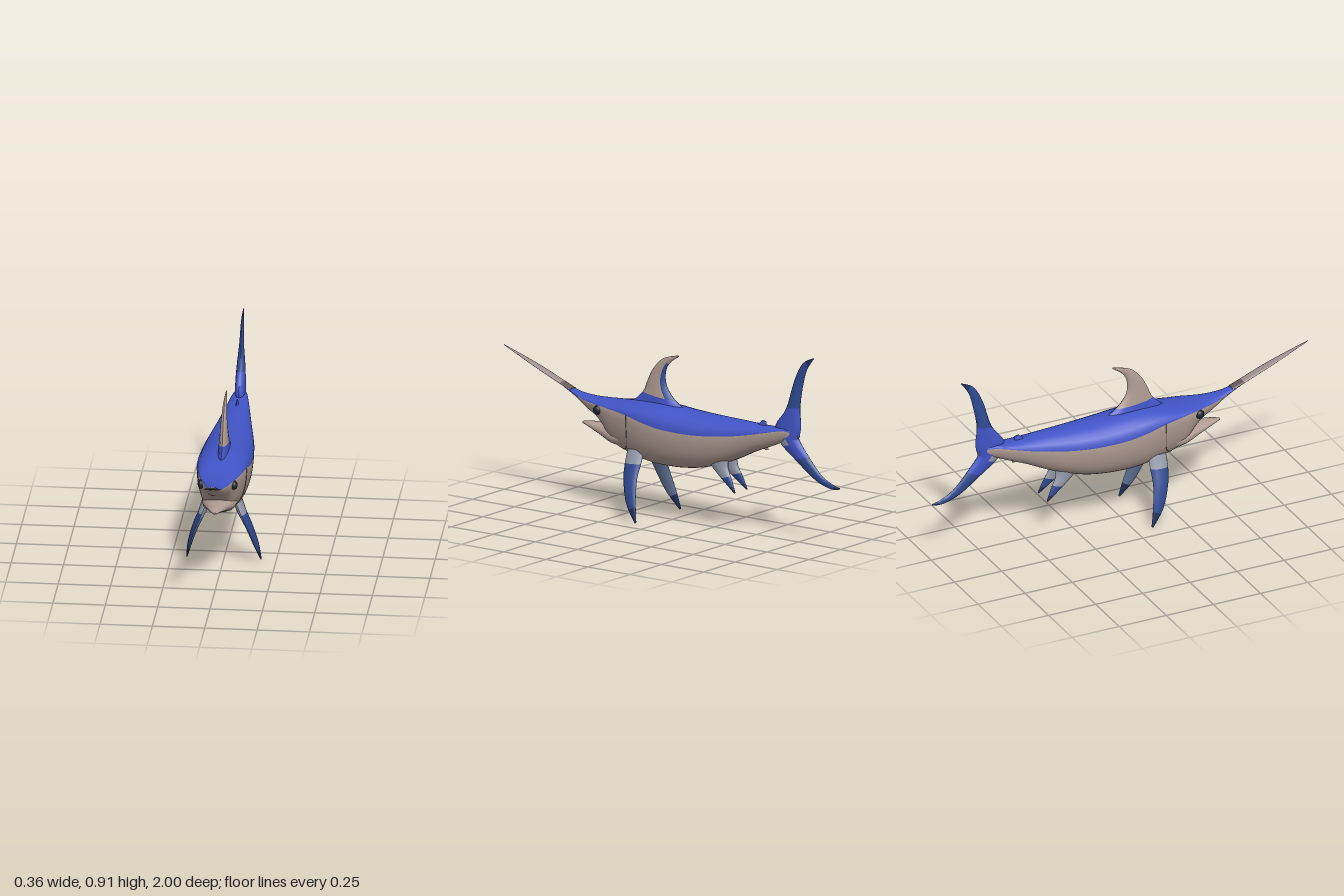
import * as THREE from 'three';
import { toCreasedNormals } from 'three/addons/utils/BufferGeometryUtils.js';

const mat = (name, color) => {
  const m = new THREE.MeshStandardMaterial({ color });
  m.name = name;
  return m;
};

// Catmull-Rom interpolation of a table of rows at fractional index u
function sample(rows, u) {
  const i = Math.min(Math.floor(u), rows.length - 2), t = u - i;
  const row = k => rows[Math.max(0, Math.min(rows.length - 1, k))];
  return rows[i].map((_, c) => {
    const [a, b, d, e] = [-1, 0, 1, 2].map(k => row(i + k)[c]);
    return b + 0.5 * t * (d - a + t * (2 * a - 5 * b + 4 * d - e + t * (3 * (b - d) + e - a)));
  });
}

// Closed skin over equal-sized rings; pick(ring, column) gives the material index
function loft(rings, materials, pick, name) {
  const n = rings[0].length, verts = rings.flat();
  const lists = materials.map(() => []);
  for (let i = 0; i < rings.length - 1; i++) {
    for (let j = 0; j < n; j++) {
      const a = i * n + j, b = i * n + (j + 1) % n;
      lists[pick(i, j)].push(a, b, b + n, a, b + n, a + n);
    }
  }
  // End caps
  const last = (rings.length - 1) * n;
  for (let j = 1; j < n - 1; j++) {
    lists[pick(0, j)].push(0, j + 1, j);
    lists[pick(rings.length - 2, j)].push(last, last + j, last + j + 1);
  }
  // Turn the skin outwards when its signed volume is negative
  let volume = 0;
  const all = lists.flat(), cross = new THREE.Vector3();
  for (let k = 0; k < all.length; k += 3) {
    volume += verts[all[k]].dot(cross.crossVectors(verts[all[k + 1]], verts[all[k + 2]]));
  }
  if (volume < 0) {
    for (const l of lists) {
      for (let k = 0; k < l.length; k += 3) [l[k], l[k + 1]] = [l[k + 1], l[k]];
    }
  }
  const geo = new THREE.BufferGeometry().setFromPoints(verts);
  geo.setIndex(lists.flat());
  let start = 0;
  lists.forEach((l, k) => {
    if (l.length) geo.addGroup(start, l.length, k);
    start += l.length;
  });
  const mesh = new THREE.Mesh(toCreasedNormals(geo, 0.9), materials);
  mesh.name = name;
  return mesh;
}

// Body rows: z, top y, colour line y, belly y, half width
const BODY = [
  [0.63, 0.573, 0.565, 0.56, 0.022], [0.56, 0.548, 0.538, 0.525, 0.03],
  [0.48, 0.538, 0.522, 0.475, 0.05], [0.42, 0.536, 0.52, 0.445, 0.068],
  [0.37, 0.536, 0.52, 0.4, 0.085], [0.31, 0.54, 0.518, 0.33, 0.1],
  [0.2, 0.56, 0.508, 0.295, 0.117], [0.1, 0.568, 0.488, 0.275, 0.126],
  [0, 0.565, 0.472, 0.27, 0.128], [-0.1, 0.557, 0.466, 0.275, 0.124],
  [-0.2, 0.552, 0.466, 0.29, 0.116], [-0.3, 0.55, 0.472, 0.32, 0.102],
  [-0.4, 0.549, 0.484, 0.36, 0.085], [-0.5, 0.546, 0.502, 0.41, 0.068],
  [-0.6, 0.545, 0.525, 0.452, 0.05], [-0.68, 0.555, 0.54, 0.487, 0.034],
  [-0.75, 0.55, 0.53, 0.51, 0.012],
];
const UP = 6, DOWN = 10, HALF = UP + DOWN;

// Point on the skin; k runs 0 (back ridge) to UP (colour line) to HALF (belly)
function bodyPoint(u, k, side, grow = 1) {
  const [z, top, line, bottom, w] = sample(BODY, u);
  if (k <= UP) {
    const a = (k / UP) * Math.PI / 2;
    return new THREE.Vector3(side * grow * w * Math.sin(a), line + (top - line) * Math.cos(a), z);
  }
  const a = ((k - UP) / DOWN) * Math.PI / 2;
  const x = w * Math.pow(Math.max(0, Math.cos(a)), 0.72);
  return new THREE.Vector3(side * grow * x, line - (line - bottom) * Math.pow(Math.sin(a), 0.95), z);
}

// Fin rows: front y, front z, back y, back z, centre x, half thickness
function fin(name, rows, materials, pick, steps = 4) {
  const rings = [], N = 12;
  for (let i = 0; i <= (rows.length - 1) * steps; i++) {
    const [ay, az, by, bz, x, t] = sample(rows, i / steps);
    rings.push(Array.from({ length: N }, (_, j) => {
      const a = j / N * Math.PI * 2, f = (1 - Math.cos(a)) / 2;
      return new THREE.Vector3(x + t * Math.sin(a), ay + (by - ay) * f, az + (bz - az) * f);
    }));
  }
  return loft(rings, materials, (i, j) => pick(i / steps, j), name);
}

export function createModel() {
  const blue = mat('back blue', 0x4154c6);
  const taupe = mat('belly taupe', 0xb09c92);
  const finBlue = mat('fin blue', 0x304a92);
  const midBlue = mat('fin inner blue', 0x66789f);
  const navy = mat('fin tip navy', 0x22305f);
  const pale = mat('fin root grey blue', 0x989fb0);
  const billGrey = mat('bill grey', 0xa0918e);
  const groove = mat('groove brown', 0x665b58);
  const dark = mat('eye black', 0x1a2430);
  const fish = new THREE.Group();
  fish.name = 'fish';

  // Body with blue back and taupe flanks
  const rings = [];
  for (let i = 0; i <= (BODY.length - 1) * 3; i++) {
    rings.push(Array.from({ length: HALF * 2 }, (_, j) =>
      j <= HALF ? bodyPoint(i / 3, j, 1) : bodyPoint(i / 3, HALF * 2 - j, -1)));
  }
  fish.add(loft(rings, [blue, taupe], (i, j) => (j < UP || j >= HALF * 2 - UP ? 0 : 1), 'body'));

  // Flat bill and lower jaw, rows: z, centre y, half height, half width
  const rod = (name, rows, materials, pick) => {
    const loops = [];
    for (let i = 0; i <= (rows.length - 1) * 3; i++) {
      const [z, y, h, w] = sample(rows, i / 3);
      loops.push(Array.from({ length: 16 }, (_, j) => {
        const a = j / 16 * Math.PI * 2;
        return new THREE.Vector3(w * Math.cos(a), y + h * Math.sin(a), z);
      }));
    }
    fish.add(loft(loops, materials, pick, name));
  };
  rod('bill', [[0.59, 0.553, 0.008, 0.023], [0.65, 0.576, 0.007, 0.024], [0.72, 0.604, 0.006, 0.024],
    [0.8, 0.635, 0.005, 0.022], [0.9, 0.673, 0.004, 0.013], [1, 0.71, 0.002, 0.002]],
  [groove, billGrey], i => (i < 3 ? 0 : 1));
  rod('lowerJaw', [[0.53, 0.402, 0.005, 0.008], [0.48, 0.4, 0.014, 0.032], [0.4, 0.388, 0.029, 0.058],
    [0.32, 0.375, 0.046, 0.082], [0.24, 0.37, 0.05, 0.085]], [taupe], () => 0);

  // Dorsal fin: blue foot, taupe blade, dark trailing edge on the left
  fish.add(fin('dorsalFin', [
    [0.545, 0.24, 0.54, -0.1, 0, 0.03], [0.605, 0.175, 0.585, -0.02, 0, 0.024],
    [0.665, 0.147, 0.645, 0.03, 0, 0.019], [0.727, 0.113, 0.705, 0.04, 0, 0.014],
    [0.783, 0.055, 0.76, 0.02, 0, 0.009], [0.81, -0.035, 0.803, -0.037, 0, 0.003],
  ], [blue, taupe, finBlue], (u, j) => (u < 1 ? 0 : u < 4 && (j === 4 || j === 5) ? 2 : 1)));

  // Tail lobes: bright at the root, darker outwards, grey front edge below
  const tailBlue = u => (u < 2 ? 0 : u < 4.25 ? 1 : 2);
  fish.add(fin('upperTailLobe', [
    [0.5, -0.62, 0.5, -0.75, 0, 0.026], [0.56, -0.615, 0.565, -0.765, 0, 0.026],
    [0.65, -0.68, 0.66, -0.758, 0, 0.022], [0.79, -0.725, 0.76, -0.775, 0, 0.011],
    [0.88, -0.775, 0.85, -0.8, 0, 0.007], [0.915, -0.84, 0.91, -0.84, 0, 0.002],
  ], [blue, finBlue, navy], tailBlue));
  fish.add(fin('lowerTailLobe', [
    [0.54, -0.62, 0.56, -0.76, 0, 0.026], [0.475, -0.64, 0.51, -0.75, 0, 0.024],
    [0.4, -0.735, 0.43, -0.81, 0, 0.016], [0.32, -0.85, 0.35, -0.885, 0, 0.01],
    [0.29, -0.94, 0.315, -0.95, 0, 0.006], [0.295, -0.995, 0.302, -0.995, 0, 0.002],
  ], [blue, finBlue, navy, pale], (u, j) => (u < 1.25 && (j < 3 || j > 8) ? 3 : tailBlue(u))));

  // Small second dorsal and anal fins near the tail
  fish.add(fin('secondDorsalFin',
    [[0.535, -0.5, 0.535, -0.56, 0, 0.009], [0.568, -0.535, 0.563, -0.56, 0, 0.003]], [blue], () => 0));
  fish.add(fin('analFin',
    [[0.45, -0.5, 0.46, -0.56, 0, 0.01], [0.425, -0.555, 0.428, -0.572, 0, 0.003]], [taupe], () => 0));

  // Paired parts
  for (const s of [1, -1]) {
    const side = s > 0 ? 'left' : 'right';
    const inner = j => (j >= 6) === (s > 0);
    const finColours = [pale, finBlue, midBlue, navy];
    fish.add(fin(side + 'PectoralFin', [
      [0.335, 0.21, 0.345, 0.115, s * 0.07, 0.024], [0.27, 0.21, 0.275, 0.115, s * 0.095, 0.02],
      [0.19, 0.195, 0.205, 0.115, s * 0.127, 0.016], [0.085, 0.155, 0.11, 0.1, s * 0.158, 0.011],
      [0.003, 0.09, 0.01, 0.082, s * 0.177, 0.003],
    ], finColours, (u, j) => (u < (inner(j) ? 1.25 : 1) ? 0 : u >= 3.25 ? 3 : inner(j) ? 2 : 1)));
    fish.add(fin(side + 'PelvicFin', [
      [0.33, -0.24, 0.36, -0.36, s * 0.034, 0.026], [0.29, -0.285, 0.315, -0.36, s * 0.038, 0.017],
      [0.25, -0.335, 0.265, -0.385, s * 0.043, 0.01], [0.198, -0.405, 0.203, -0.41, s * 0.048, 0.003],
    ], finColours, u => (u < 1.75 ? 0 : u < 2.5 ? 1 : 3)));

    // Eye
    const eye = new THREE.Mesh(new THREE.SphereGeometry(0.022, 20, 14), dark);
    eye.name = side + 'Eye';
    eye.scale.x = 0.75;
    eye.position.set(s * 0.079, 0.496, 0.387);
    fish.add(eye);

    // Gill cover line following the skin
    const path = Array.from({ length: 8 }, (_, i) =>
      bodyPoint(6.1 - 0.55 * Math.pow(i / 7, 3), UP + i * 1.1, s, 1.002));
    const gill = new THREE.Mesh(
      new THREE.TubeGeometry(new THREE.CatmullRomCurve3(path), 24, 0.0018, 6), groove);
    gill.name = side + 'GillLine';
    fish.add(gill);
  }
  return fish;
}
